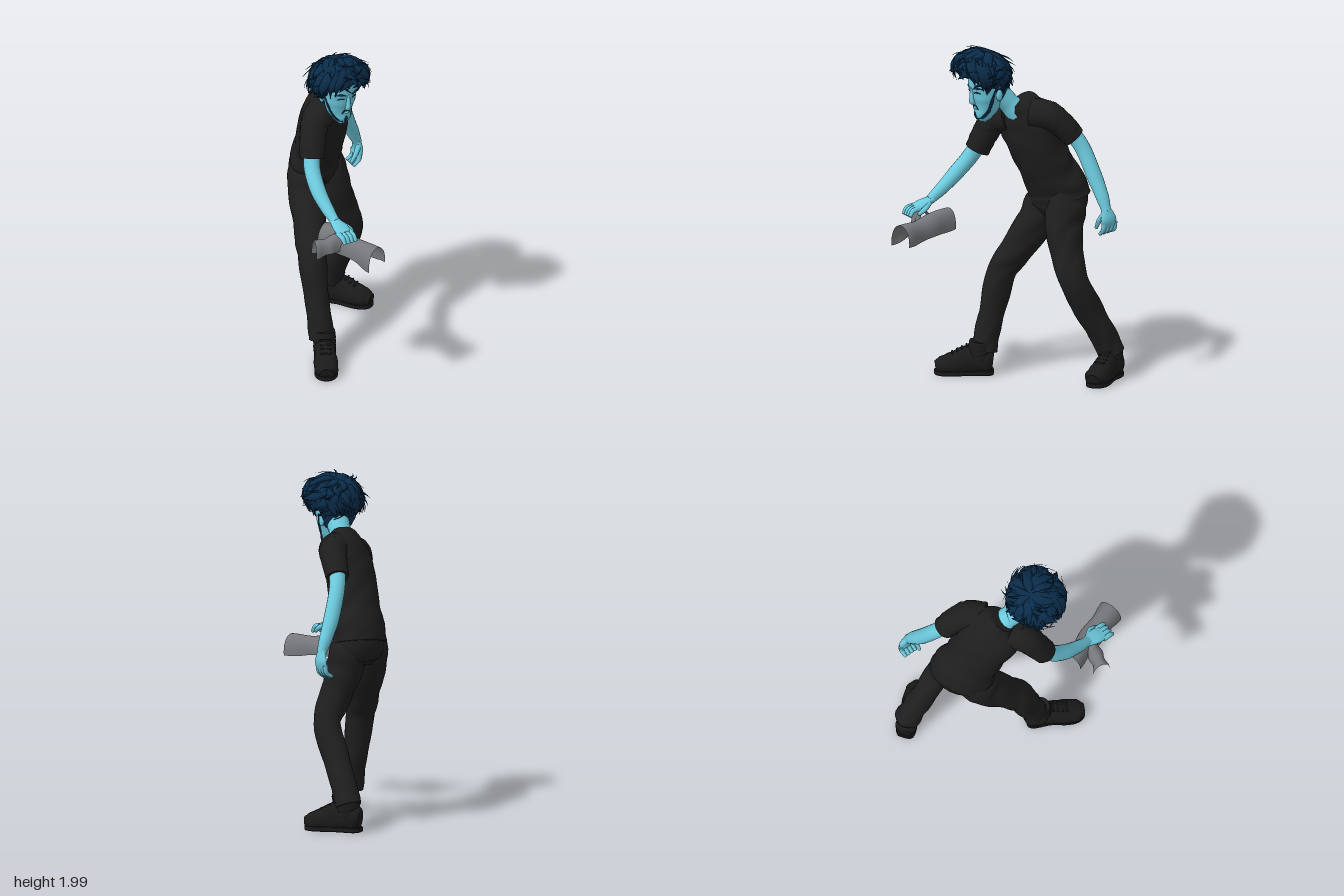
import * as THREE from 'three';
import { mergeGeometries } from 'three/addons/utils/BufferGeometryUtils.js';

const mat = (name, color) => Object.assign(new THREE.MeshStandardMaterial({ color }), { name });
const skin = mat('skin', 0x6dcbdf), hairMat = mat('hair', 0x0a2c4a), shirtMat = mat('shirt', 0x1e1e1e);
const trouserMat = mat('trousers', 0x1f1f1f), shoeMat = mat('shoes', 0x1b1b1b), clothMat = mat('cloth', 0x75777b);
clothMat.side = THREE.DoubleSide;

const V = (x, y, z) => new THREE.Vector3(x, y, z);
let seed = 7;
const rand = (a = 0, b = 1) => a + (b - a) * ((seed = (seed * 16807) % 2147483647) / 2147483647);

// Closed tube through points [x, y, z, halfWidth, halfDepth]; depth lies along ref, fold adds soft creases.
function tube(pts, { ref = V(0, 0, 1), sides = 16, rings = 20, fold = 0 } = {}) {
  const curve = new THREE.CatmullRomCurve3(pts.map(p => V(p[0], p[1], p[2])), false, 'catmullrom');
  const pos = [], idx = [], list = [[0, 0], [0, 1]];
  for (let i = 0; i <= rings; i++) list.push([i / rings, 1]);
  list.push([1, 1], [1, 0]);
  list.forEach(([u, size], i) => {
    const P = curve.getPoint(u), T = curve.getTangent(u);
    const N = ref.clone().addScaledVector(T, -ref.dot(T)).normalize(), B = T.clone().cross(N);
    const f = u * (pts.length - 1), k = Math.min(Math.floor(f), pts.length - 2);
    const s = THREE.MathUtils.smoothstep(f - k, 0, 1) * 0.5 + (f - k) * 0.5;
    const mix = j => THREE.MathUtils.lerp(pts[k][j] ?? pts[k][3], pts[k + 1][j] ?? pts[k + 1][3], s) * size;
    const rx = mix(3), ry = mix(4);
    for (let j = 0; j < sides; j++) {
      const a = j / sides * Math.PI * 2;
      const w = 1 + fold * Math.sin(u * 34 + 2.5 * Math.sin(a * 2 + 1) + a) * Math.sin(a + u * 5);
      const q = P.clone().addScaledVector(B, rx * w * Math.cos(a)).addScaledVector(N, ry * w * Math.sin(a));
      pos.push(q.x, q.y, q.z);
      if (i) {
        const a0 = (i - 1) * sides + j, b0 = (i - 1) * sides + (j + 1) % sides;
        idx.push(a0, a0 + sides, b0, b0, a0 + sides, b0 + sides);
      }
    }
  });
  const g = new THREE.BufferGeometry();
  g.setAttribute('position', new THREE.Float32BufferAttribute(pos, 3));
  g.setIndex(idx);
  g.computeVertexNormals();
  return g;
}

function add(parent, name, geo, material) {
  const m = new THREE.Mesh(geo, material);
  m.name = name;
  parent.add(m);
  return m;
}

// Shoe pointing along +z, standing on y = 0
function shoe(name, x, z, yaw) {
  const g = new THREE.Group();
  g.name = name;
  const upper = tube([[0, .075, -.167, .044, .055], [0, .08, -.13, .062, .085], [0, .08, -.03, .062, .095],
    [0, .06, .055, .071, .074], [0, .05, .12, .069, .058], [0, .042, .165, .042, .038]], { ref: V(0, 1, 0), sides: 20, fold: .03 });
  const p = upper.attributes.position;
  for (let i = 0; i < p.count; i++) p.setY(i, Math.max(p.getY(i), .012));
  upper.computeVertexNormals();
  add(g, 'shoeUpper', upper, shoeMat);
  const half = [[.033, -.166], [.054, -.13], [.049, -.03], [.063, .06], [.058, .125], [.026, .165]];
  const outline = [...half, ...half.map(([a, b]) => [-a, b]).reverse()].map(([a, b]) => new THREE.Vector2(a, b));
  const shape = new THREE.Shape(new THREE.SplineCurve([...outline, outline[0]]).getPoints(48));
  const sole = new THREE.ExtrudeGeometry(shape, { depth: .022, bevelEnabled: true, bevelSize: .004, bevelThickness: .004, bevelSegments: 1 });
  add(g, 'sole', sole.rotateX(Math.PI / 2).translate(0, .026, 0), shoeMat);
  add(g, 'ankleCollar', tube([[0, .07, -.085, .066, .07], [0, .15, -.09, .066, .07], [0, .2, -.095, .06, .064]], { fold: .03 }), shoeMat);
  for (let i = 0; i < 4; i++)
    add(g, 'lace', new THREE.CapsuleGeometry(.006, .055, 3, 8).rotateZ(Math.PI / 2).translate(0, .172 - i * .014, -.015 + i * .028), shoeMat);
  g.position.set(x, 0, z);
  g.rotation.y = yaw;
  return g;
}

// Palm, four fingers and thumb
function hand(name, palm, ref, finger, thumb) {
  const g = new THREE.Group();
  g.name = name;
  add(g, 'palm', tube(palm, { ref, rings: 10 }), skin);
  const opt = { ref: V(.3, .5, .8), sides: 8, rings: 9 };
  for (let i = 0; i < 4; i++) add(g, 'finger', tube(finger(i), opt), skin);
  add(g, 'thumb', tube(thumb, opt), skin);
  return g;
}

function buildHead() {
  const g = new THREE.Group();
  g.name = 'head';
  add(g, 'neck', tube([[-.035, 1.57, -.1, .085, .075], [-.06, 1.65, -.035, .064, .06], [-.09, 1.74, .045, .068]]), skin);
  const skull = add(g, 'face', tube([[-.097, 1.556, .128, .026, .028], [-.098, 1.59, .117, .052, .055], [-.1, 1.65, .095, .08, .081],
    [-.1, 1.71, .09, .098, .097], [-.1, 1.77, .088, .107, .11], [-.1, 1.84, .088, .105, .112], [-.1, 1.91, .088, .06, .07]],
  { sides: 28, rings: 30 }), skin);
  for (const s of [-1, 1])
    add(g, 'ear', new THREE.SphereGeometry(1, 12, 10).scale(.012, .034, .022).translate(-.1 + s * .104, 1.725, .065), skin);
  add(g, 'nose', tube([[-.1, 1.765, .188, .01, .012], [-.1, 1.715, .19, .012, .014], [-.1, 1.68, .19, .018, .016], [-.1, 1.667, .176, .014, .01]], { rings: 10 }), skin);
  add(g, 'lips', tube([[-.122, 1.637, .163, .004], [-.1, 1.639, .172, .007], [-.078, 1.637, .163, .004]], { rings: 8, sides: 8 }), skin);
  // Strokes of hair follow the face; each point is [angle from the front, height]
  const ray = new THREE.Raycaster();
  const stroke = (name, pts, r) => add(g, name, tube(pts.map(([a, y], i) => {
    const d = V(Math.sin(a), 0, Math.cos(a)), c = V(-.1, y, .1);
    ray.set(c.clone().add(d), d.clone().negate());
    const hit = ray.intersectObject(skull)[0]?.point ?? c;
    return [hit.x, hit.y, hit.z, i === 0 || i === pts.length - 1 ? r * .4 : r, .004];
  }), { ref: V(Math.sin(pts[1][0]), 0, Math.cos(pts[1][0])), sides: 8, rings: 12 }), hairMat);
  for (const s of [-1, 1]) {
    stroke('eyebrow', [[s * .22, 1.762], [s * .5, 1.77], [s * .9, 1.764]], .008);
    stroke('eye', [[s * .28, 1.738], [s * .5, 1.742], [s * .75, 1.737]], .005);
    stroke('moustache', [[s * .02, 1.654], [s * .2, 1.653], [s * .42, 1.632]], .005);
    stroke('jawBeard', [[s * 1.65, 1.76], [s * 1.5, 1.69], [s * 1.35, 1.63], [s * .9, 1.592], [s * .25, 1.575]], .011);
  }
  stroke('goatee', [[0, 1.615], [0, 1.595], [0, 1.57]], .012);
  return g;
}

// Tousled hair: a cap tipped backwards, covered in long curved tapering locks
function buildHair() {
  const g = new THREE.Group(), size = V(.152, .112, .147), locks = [];
  g.name = 'hair';
  add(g, 'hairCap', new THREE.SphereGeometry(1, 28, 18, 0, Math.PI * 2, 0, 1.95).scale(size.x, size.y, size.z), hairMat);
  add(g, 'napeHair', new THREE.SphereGeometry(1, 20, 14).scale(.108, .11, .075).translate(.015, -.085, -.085), hairMat);
  const at = (th, ph, r) => V(Math.sin(th) * Math.sin(ph), Math.cos(th), Math.sin(th) * Math.cos(ph)).multiply(size).multiplyScalar(r);
  // Lock from rows of [polar angle, turn, radius factor, width factor]
  const lock = (ph, rows, w, rings = 11) => {
    const path = rows.map(([th, turn, r, k]) => {
      const q = at(th, ph + turn, r);
      return [q.x, q.y, q.z, w * k, w * k * .45];
    });
    locks.push(tube(path, { ref: at(rows[1][0], ph, 1).normalize(), sides: 6, rings }));
  };
  const rows = [[.05, 8, 1.1], [.4, 14, 1.1], [.75, 18, 1.05], [1.1, 22, 1], [1.45, 26, .85]];
  for (const [start, count, length] of rows) for (let i = 0; i < count; i++) {
    const ph = (i + rand(0, .9)) / count * Math.PI * 2;
    const th = start + rand(-.12, .15), sweep = rand(-.9, .6), parting = Math.cos(ph) > .85 && start > 1;
    const len = length * rand(.75, 1.15) * (parting ? .6 : 1), lift = rand(1.08, start < .5 ? 1.24 : 1.38);
    lock(ph, [[0, .95, .5], [.3, 1.07, 1], [.65, 1.1, .8], [.88, (1.1 + lift) / 2, .35], [1, lift, .04]]
      .map(([t, r, k]) => [th + len * t, sweep * t * t, r, k]), rand(.022, .036));
  }
  // Fringe and temple locks falling to both sides of the forehead
  for (let i = 0; i < 24; i++) {
    const s = i % 2 ? 1 : -1, end = rand(2.1, 2.35);
    lock(s * rand(.05, 1), [[.9, 0, 1.02, .6], [1.3, s * .2, 1.18, 1], [1.75, s * .45, 1.22, .85], [end, s * .65, rand(1.05, 1.3), .05]], rand(.016, .027));
  }
  // Locks at the nape
  for (let i = 0; i < 12; i++)
    lock(Math.PI + (i - 5.5) * .19, [[1.5, 0, 1, .8], [1.95, .05, 1.1, 1], [2.3, .1, 1.13, .7], [2.55, rand(-.2, .3), rand(1.15, 1.3), .05]], rand(.018, .026));
  // Thin stray wisps
  for (let i = 0; i < 40; i++) {
    const th = rand(.25, 1.7), bend = rand(-.7, .7);
    lock(rand(0, 6.28), [0, .4, .75, 1].map(t => [th + .5 * t, bend * t * t, 1.02 + .4 * t - .05 * t * t, 1.1 - t]), .011, 8);
  }
  add(g, 'hairLocks', mergeGeometries(locks), hairMat);
  g.position.set(-.12, 1.85, .105);
  g.rotation.x = -.32;
  return g;
}

// Draped rag: a sheet hanging to both sides of a ridge between two points
function drape(name, a, b, spread, drop, parent) {
  const geo = new THREE.PlaneGeometry(2, 1, 24, 24), p = geo.attributes.position;
  const side = V(b.z - a.z, 0, a.x - b.x).normalize();
  for (let i = 0; i < p.count; i++) {
    const t = p.getX(i), s = p.getY(i) + .5, m = Math.abs(t);
    const q = a.clone().lerp(b, s).addScaledVector(side, spread * Math.sin(t * 1.7) * (.9 + .15 * s) + .006 * m * Math.sin(s * 13 + t * 2));
    q.y += -drop * Math.pow(m, 2) * (.92 + .08 * Math.sin(s * 9 + t)) + .007 * Math.sin(s * 8 + t * 2);
    p.setXYZ(i, q.x, q.y, q.z);
  }
  geo.computeVertexNormals();
  add(parent, name, geo, clothMat);
}

export function createModel() {
  const model = new THREE.Group();
  model.name = 'standingMan';
  const facing = V(.5, 0, .86);

  // T-shirt
  add(model, 'shirt', tube([[.015, 1.06, -.335, .193, .14], [.008, 1.13, -.318, .187, .141], [-.002, 1.23, -.268, .168, .138], [-.015, 1.35, -.215, .166, .142],
    [-.03, 1.48, -.165, .185, .132], [-.035, 1.57, -.13, .178, .11], [-.043, 1.628, -.098, .13, .09], [-.053, 1.654, -.078, .084, .074]],
  { ref: facing, sides: 36, rings: 56, fold: .025 }), shirtMat);
  add(model, 'leftSleeve', tube([[.04, 1.6, -.14, .09], [.115, 1.595, -.2, .084], [.155, 1.535, -.27, .075], [.18, 1.46, -.332, .068]], { fold: .025 }), shirtMat);
  add(model, 'rightSleeve', tube([[-.1, 1.555, -.07, .095], [-.19, 1.525, -.02, .084], [-.237, 1.43, .022, .077], [-.264, 1.335, .056, .073]], { fold: .025 }), shirtMat);

  // Trousers
  add(model, 'seat', tube([[.01, .95, -.305, .08, .085], [.01, 1.0, -.315, .16, .122], [.012, 1.06, -.33, .18, .133], [.01, 1.13, -.31, .165, .125]],
    { ref: facing, sides: 28 }), trouserMat);
  add(model, 'leftLeg', tube([[.085, 1.13, -.325, .08, .09], [.098, 1.02, -.325, .102, .122], [.115, .9, -.305, .104, .115], [.17, .75, -.295, .09, .095], [.235, .6, -.305, .075, .088],
    [.242, .4, -.41, .072, .084], [.25, .25, -.495, .072, .08], [.255, .15, -.54, .076, .08]], { sides: 24, rings: 56, fold: .045 }), trouserMat);
  add(model, 'rightLeg', tube([[-.06, 1.13, -.3, .08, .09], [-.08, 1.02, -.29, .102, .122], [-.1, .9, -.24, .104, .115], [-.15, .72, -.13, .09, .098], [-.185, .6, -.06, .08, .09],
    [-.193, .4, -.01, .069, .08], [-.195, .25, .03, .07, .074], [-.195, .14, .05, .075, .076]], { sides: 24, rings: 56, fold: .045 }), trouserMat);
  model.add(shoe('leftShoe', .308, -.465, .6), shoe('rightShoe', -.24, .16, -.53));

  // Arms and hands
  add(model, 'leftArm', tube([[.16, 1.52, -.3, .05], [.212, 1.4, -.37, .046], [.28, 1.24, -.41, .046], [.335, 1.13, -.43, .039], [.374, 1.045, -.438, .028]]), skin);
  add(model, 'rightArm', tube([[-.24, 1.42, .03, .05], [-.285, 1.3, .085, .048], [-.305, 1.2, .175, .046], [-.305, 1.12, .27, .038], [-.3, 1.062, .355, .028]]), skin);
  model.add(hand('leftHand', [[.37, 1.06, -.436, .03, .023], [.384, 1.0, -.446, .05, .022], [.378, .955, -.452, .047, .017]], V(1, 0, 0),
    i => { const z = -.417 - .024 * i; return [[.382, .98, z, .015], [.374, .935, z, .014], [.335, .9 + .004 * i, z, .01]]; },
    [[.375, 1.03, -.42, .017], [.345, .985, -.405, .015], [.312, .935, -.405, .01]]));
  model.add(hand('rightHand', [[-.3, 1.066, .34, .03, .022], [-.3, 1.046, .41, .048, .022], [-.3, 1.028, .46, .047, .018]], V(0, 1, 0),
    i => { const x = -.338 + .025 * i; return [[x, 1.032, .44, .016], [x, 1.022, .488, .015], [x + .004, .99, .512, .011]]; },
    [[-.275, 1.05, .375, .017], [-.243, 1.028, .42, .015], [-.245, 1.0, .465, .011]]));

  model.add(buildHead(), buildHair());

  // Rag under the right hand
  const rag = new THREE.Group();
  rag.name = 'rag';
  drape('ragSheet', V(-.295, 1.0, .235), V(-.185, .965, .62), .064, .125, rag);
  drape('ragCorner', V(-.27, 1.0, .395), V(-.44, .965, .345), .042, .1, rag);
  model.add(rag);
  return model;
}
